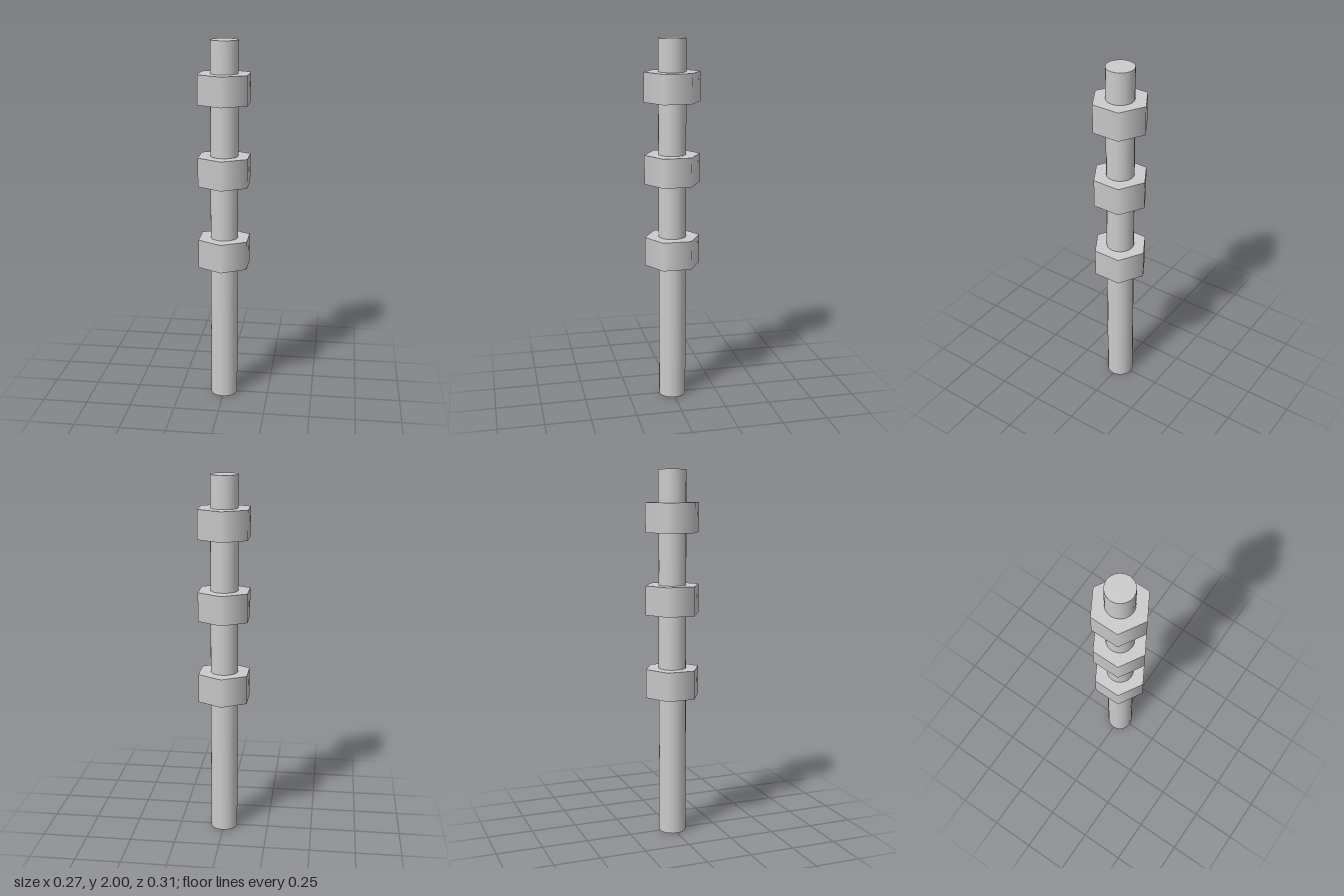
import * as THREE from 'three';

export function createModel() {
  const group = new THREE.Group();
  const material = new THREE.MeshStandardMaterial({ color: 0xcccccc });

  // Upright cylinder centred on the axis; 6 sides put corners on +z and -z
  const addPart = (name, radius, height, sides, y) => {
    const mesh = new THREE.Mesh(new THREE.CylinderGeometry(radius, radius, height, sides), material);
    mesh.name = name;
    mesh.position.y = y;
    group.add(mesh);
  };

  // Full-length rod
  addPart('rod', 0.075, 2, 20, 1);

  // Three hexagonal nuts, bottom to top
  const nutHeights = { lowerNut: 0.853, middleNut: 1.309, upperNut: 1.748 };
  for (const [name, y] of Object.entries(nutHeights)) addPart(name, 0.153, 0.158, 6, y);

  return group;
}
